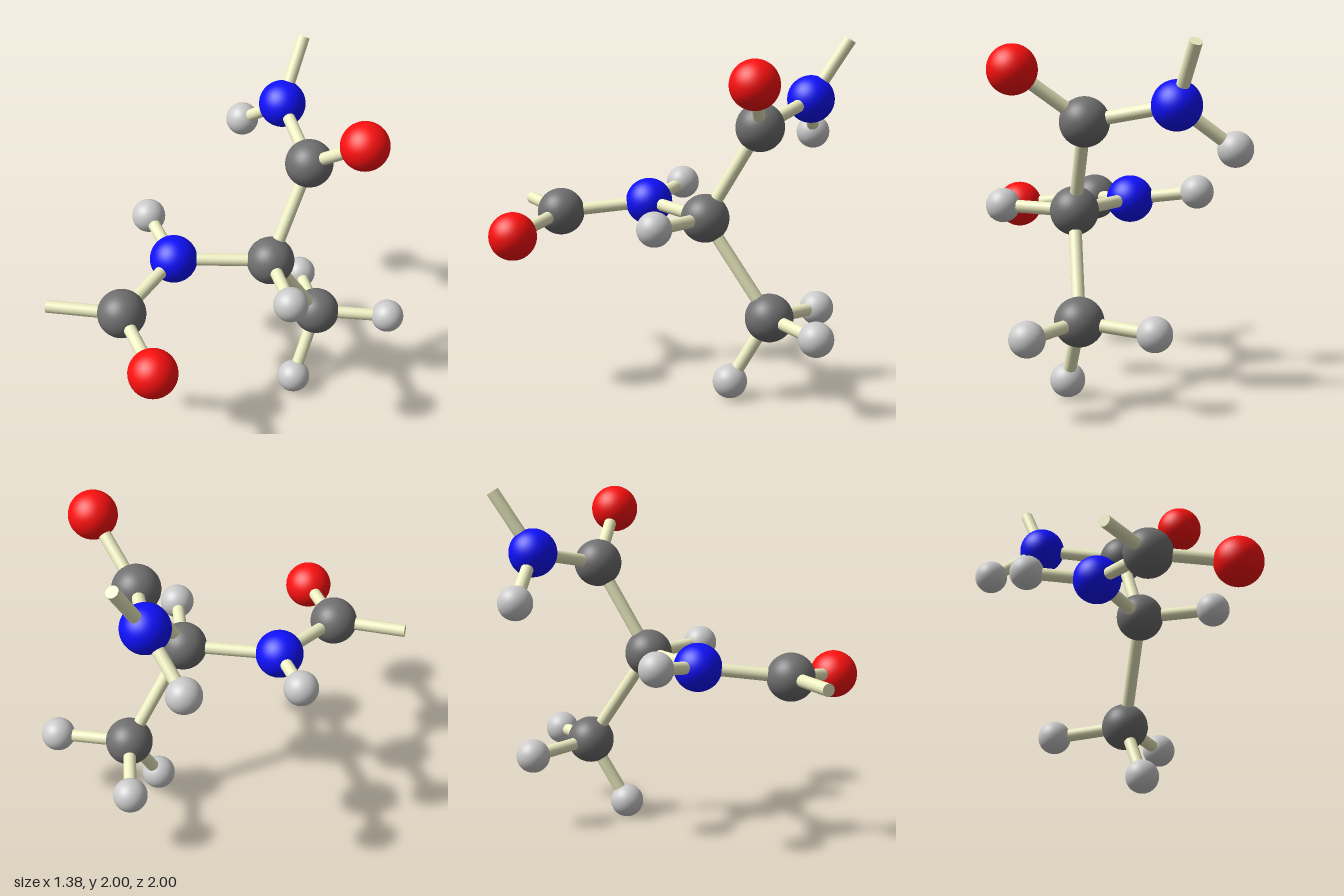
import * as THREE from 'three';

const BOND_RADIUS = 0.036;

// Atom kinds: radius and colour
const KINDS = {
  carbon: { radius: 0.136, color: 0x707070 },
  nitrogen: { radius: 0.136, color: 0x1010ff },
  oxygen: { radius: 0.136, color: 0xff1010 },
  hydrogen: { radius: 0.097, color: 0xcccccc },
};

// Atom centres
const ATOMS = {
  alphaCarbon: ['carbon', 0.166, 1.02, -0.203],
  alphaHydrogen: ['hydrogen', 0.534, 1.03, 0.024],
  upperCarbon: ['carbon', 0.166, 1.54, -0.505],
  upperOxygen: ['oxygen', 0.553, 1.822, -0.51],
  upperNitrogen: ['nitrogen', -0.276, 1.64, -0.753],
  upperHydrogen: ['hydrogen', -0.597, 1.403, -0.75],
  lowerNitrogen: ['nitrogen', -0.234, 1.024, 0.18],
  lowerHydrogen: ['hydrogen', -0.599, 1.074, 0.033],
  lowerCarbon: ['carbon', -0.123, 0.971, 0.683],
  lowerOxygen: ['oxygen', 0.318, 0.914, 0.862],
  methylCarbon: ['carbon', 0.209, 0.471, -0.572],
  methylHydrogenRight: ['hydrogen', -0.15, 0.441, -0.815],
  methylHydrogenLeft: ['hydrogen', 0.534, 0.455, -0.853],
  methylHydrogenBottom: ['hydrogen', 0.234, 0.1, -0.357],
};

// Bonded pairs
const BONDS = [
  ['alphaCarbon', 'alphaHydrogen'],
  ['alphaCarbon', 'upperCarbon'],
  ['alphaCarbon', 'lowerNitrogen'],
  ['alphaCarbon', 'methylCarbon'],
  ['upperCarbon', 'upperOxygen'],
  ['upperCarbon', 'upperNitrogen'],
  ['upperNitrogen', 'upperHydrogen'],
  ['lowerNitrogen', 'lowerHydrogen'],
  ['lowerNitrogen', 'lowerCarbon'],
  ['lowerCarbon', 'lowerOxygen'],
  ['methylCarbon', 'methylHydrogenRight'],
  ['methylCarbon', 'methylHydrogenLeft'],
  ['methylCarbon', 'methylHydrogenBottom'],
];

// Bonds that end in open space
const OPEN_BONDS = [
  ['upperNitrogen', new THREE.Vector3(-0.318, 1.98, -0.968)],
  ['lowerCarbon', new THREE.Vector3(-0.462, 0.977, 0.938)],
];

export function createModel() {
  const model = new THREE.Group();
  model.name = 'molecule';

  const bondMaterial = new THREE.MeshStandardMaterial({ color: 0xf0f0c4 });
  const centre = (name) => new THREE.Vector3(...ATOMS[name].slice(1));

  const addBond = (from, to, name) => {
    const axis = to.clone().sub(from);
    const geometry = new THREE.CylinderGeometry(BOND_RADIUS, BOND_RADIUS, axis.length(), 20);
    const bond = new THREE.Mesh(geometry, bondMaterial);
    bond.position.copy(from).add(to).multiplyScalar(0.5);
    bond.quaternion.setFromUnitVectors(new THREE.Vector3(0, 1, 0), axis.normalize());
    bond.name = name;
    model.add(bond);
  };

  // Shared sphere and material per kind
  const looks = {};
  for (const [kind, { radius, color }] of Object.entries(KINDS)) {
    looks[kind] = {
      geometry: new THREE.SphereGeometry(radius, 40, 28),
      material: new THREE.MeshStandardMaterial({ color }),
    };
  }

  // Atoms
  for (const [name, [kind]] of Object.entries(ATOMS)) {
    const atom = new THREE.Mesh(looks[kind].geometry, looks[kind].material);
    atom.position.copy(centre(name));
    atom.name = name;
    model.add(atom);
  }

  // Bonds
  for (const [a, b] of BONDS) addBond(centre(a), centre(b), `bond ${a} to ${b}`);
  for (const [a, end] of OPEN_BONDS) addBond(centre(a), end, `open bond from ${a}`);

  return model;
}
